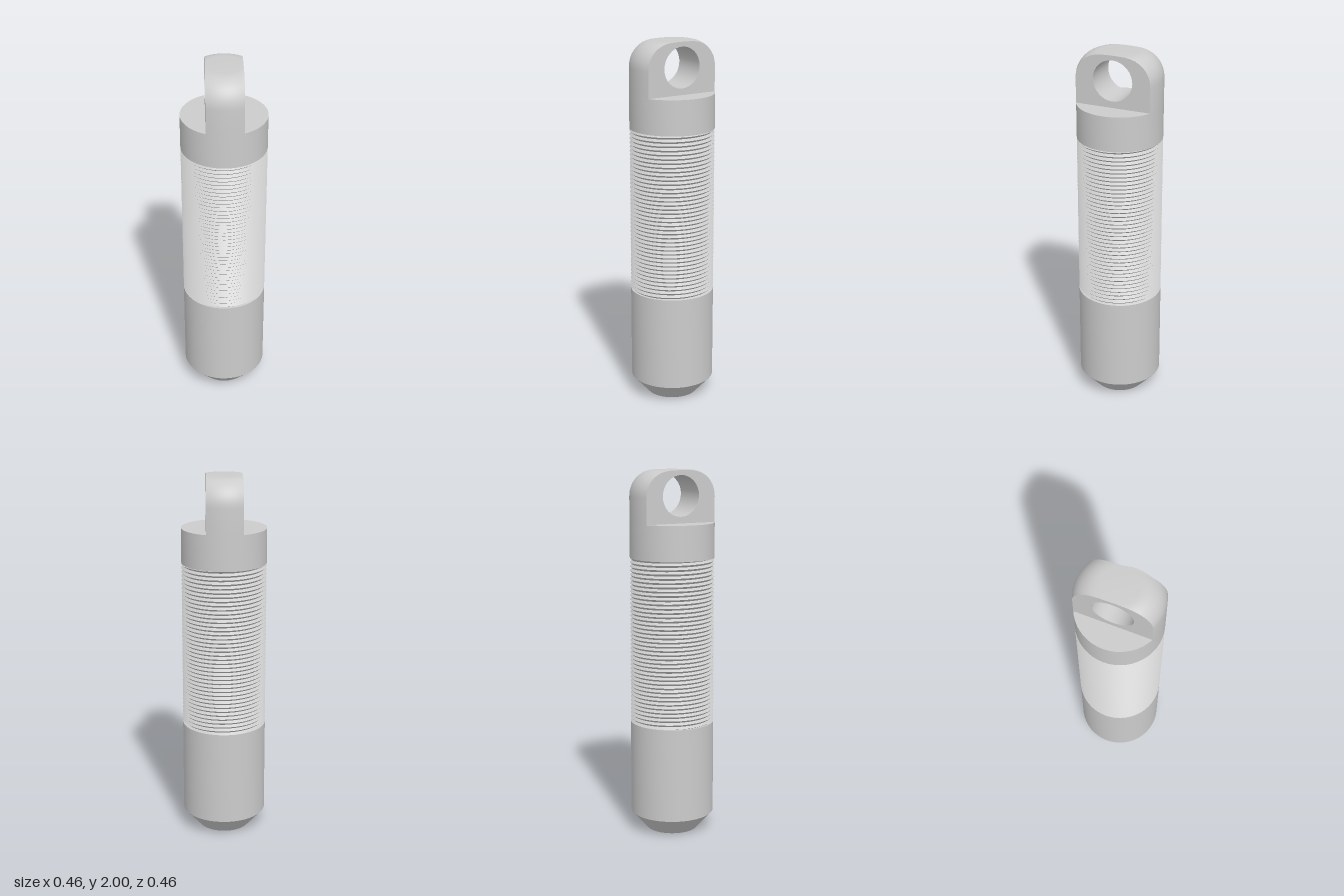
import * as THREE from 'three';
import { toCreasedNormals } from 'three/addons/utils/BufferGeometryUtils.js';
import { ParametricGeometry } from 'three/addons/geometries/ParametricGeometry.js';

const R = 0.23; // body radius
const ROOT = 0.217; // thread root radius
const THREAD_BOTTOM = 0.62, THREAD_TOP = 1.53, TURNS = 40;
const SHOULDER = 1.72;
const HALF_TAB = 0.098;

const material = new THREE.MeshStandardMaterial({ color: 0xcccccc });

function addMesh(group, name, geometry, crease = 0.5) {
  const mesh = new THREE.Mesh(toCreasedNormals(geometry, crease), material);
  mesh.name = name;
  group.add(mesh);
}

function lathe(points) {
  return new THREE.LatheGeometry(points.map(([r, y]) => new THREE.Vector2(r, y)), 48);
}

// Helical V-thread: rows alternate between root and crest, clamped at both ends
function threadGeometry() {
  const pitch = (THREAD_TOP - THREAD_BOTTOM) / TURNS;
  const rows = 2 * TURNS + 2;
  return new ParametricGeometry((u, v, target) => {
    const row = Math.round(v * rows) - 2;
    const y = THREAD_BOTTOM + pitch * (row / 2 + u);
    const r = row % 2 === 0 ? ROOT : R;
    const a = u * Math.PI * 2;
    target.set(r * Math.sin(a), THREE.MathUtils.clamp(y, THREAD_BOTTOM, THREAD_TOP), r * Math.cos(a));
  }, 48, rows);
}

// Eye: a round-topped dome cut by two flat sides, pierced by a cross hole
function eyeGeometry() {
  const side = [[R, SHOULDER]];
  for (let i = 0; i <= 10; i++) {
    const a = (i / 10) * Math.PI / 2;
    side.push([0.1 + 0.13 * Math.cos(a), 1.86 + 0.14 * Math.sin(a)]);
  }
  // outline on the flat side, where the dome is narrower
  const right = side.map(([r, y]) => new THREE.Vector2(Math.sqrt(r * r - HALF_TAB ** 2), y));
  const left = right.map((p) => new THREE.Vector2(-p.x, p.y)).reverse();
  const shape = new THREE.Shape([...right, ...left]);
  const holeY = 1.865, holeR = 0.11;
  shape.holes.push(new THREE.Path().absarc(0, holeY, holeR, 0, Math.PI * 2, true));

  const geometry = new THREE.ExtrudeGeometry(shape, {
    depth: 2 * HALF_TAB, steps: 12, bevelEnabled: false, curveSegments: 16,
  });
  geometry.translate(0, 0, -HALF_TAB);
  // bulge the outer wall out to the round body
  const pos = geometry.attributes.position;
  for (let i = 0; i < pos.count; i++) {
    const x = pos.getX(i), y = pos.getY(i), d = pos.getZ(i);
    if (Math.hypot(x, y - holeY) < holeR + 0.001) continue;
    pos.setX(i, Math.sign(x) * Math.sqrt(Math.max(0, x * x + HALF_TAB ** 2 - d * d)));
  }
  return geometry.rotateY(Math.PI / 2);
}

export function createModel() {
  const group = new THREE.Group();
  group.name = 'threadedEyePin';

  // Plain lower body with chamfered foot and blind bore
  addMesh(group, 'lowerBody', lathe([
    [0, 0.3], [0.058, 0.3], [0.058, 0], [0.14, 0], [R, 0.1], [R, THREAD_BOTTOM], [ROOT, THREAD_BOTTOM],
  ]));
  addMesh(group, 'thread', threadGeometry());
  // Collar under the eye
  addMesh(group, 'collar', lathe([
    [ROOT, THREAD_TOP], [R, THREAD_TOP], [R, SHOULDER], [0, SHOULDER],
  ]));
  addMesh(group, 'eye', eyeGeometry());

  return group;
}
